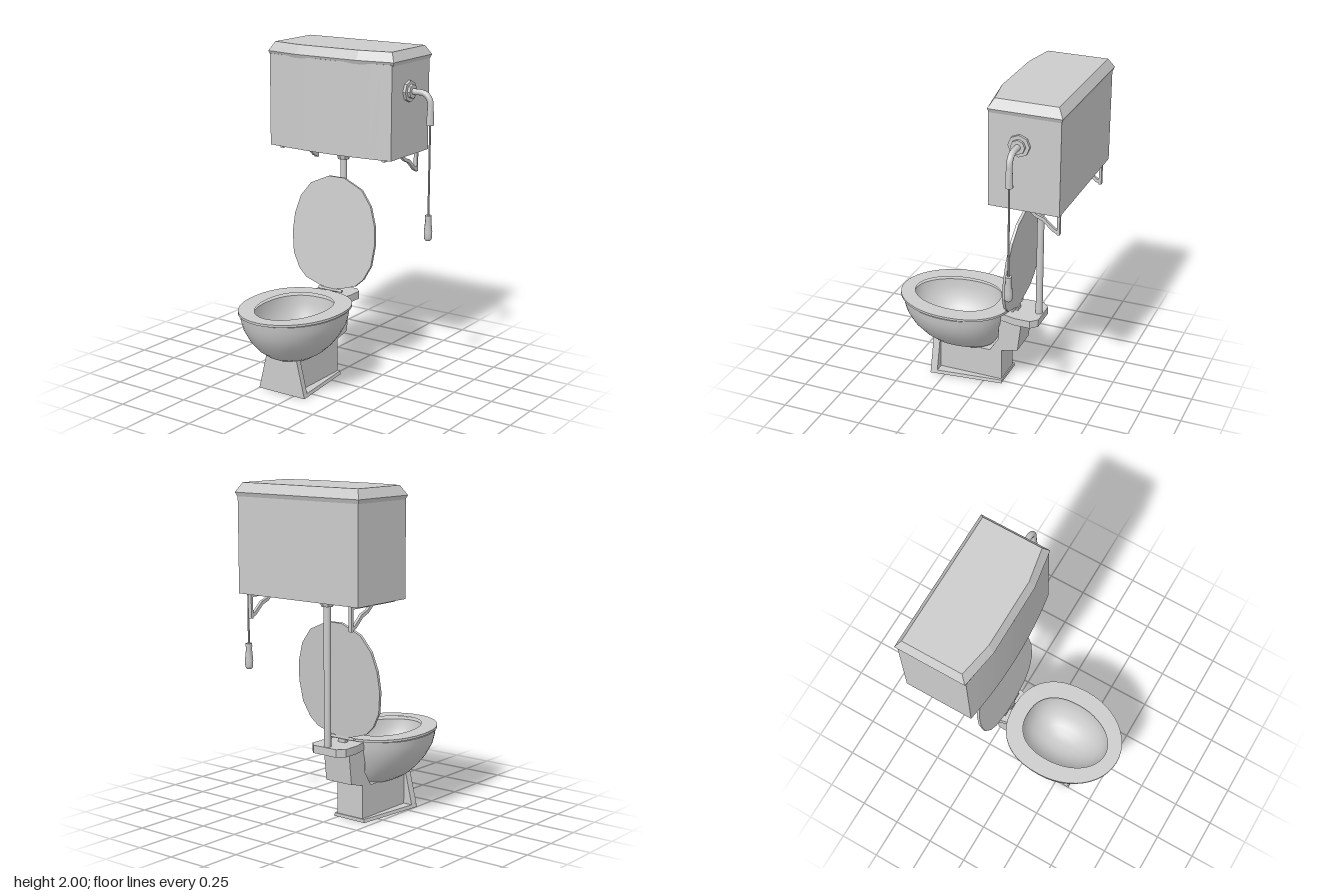
import * as THREE from 'three';
import { toCreasedNormals } from 'three/addons/utils/BufferGeometryUtils.js';

const grey = new THREE.MeshStandardMaterial({ color: 0xcccccc });
const V = (x, y, z) => new THREE.Vector3(x, y, z);

// Skin over a stack of rings with equal point counts; both ends close on their centres
function loft(rings, crease = 0.6) {
  const n = rings[0].length;
  const centre = (r) => r.reduce((s, p) => s.add(p), V(0, 0, 0)).divideScalar(n);
  const first = centre(rings[0]), last = centre(rings[rings.length - 1]);
  const pts = [];
  for (let i = 0; i < n; i++) {
    const j = (i + 1) % n;
    pts.push(first, rings[0][i], rings[0][j]);
    for (let k = 0; k < rings.length - 1; k++) {
      const a = rings[k], b = rings[k + 1];
      pts.push(a[i], b[i], a[j], a[j], b[i], b[j]);
    }
    pts.push(last, rings[rings.length - 1][j], rings[rings.length - 1][i]);
  }
  const geo = new THREE.BufferGeometry().setFromPoints(pts);
  return toCreasedNormals(geo, crease);
}

// Egg-shaped outline, a little squarer at the back
function egg(hw, zf, zb, zc = 0.2, n = 48) {
  const out = [];
  for (let i = 0; i < n; i++) {
    const a = (i / n) * Math.PI * 2, c = Math.cos(a), s = Math.sin(a);
    const e = s < 0 ? 2 / 2.35 : 1;
    const x = Math.sign(c) * Math.pow(Math.abs(c), e) * hw;
    const z = zc + Math.sign(s) * Math.pow(Math.abs(s), e) * (s < 0 ? zc - zb : zf - zc);
    out.push([x, z]);
  }
  return out;
}
const ringAt = (y, outline) => outline.map(([x, z]) => V(x, y, z));

// Four-cornered ring with separate front and back widths
const quad = (y, front, back, zf, zb) =>
  ringAt(y, [[front, zf], [-front, zf], [-back, zb], [back, zb]]);

// Side profile given as [z, y], extruded across x
function sideExtrude(points, width) {
  const shape = new THREE.Shape(points.map(([z, y]) => new THREE.Vector2(z, y)));
  const geo = new THREE.ExtrudeGeometry(shape, { depth: width, bevelEnabled: false });
  return geo.rotateY(-Math.PI / 2).translate(width / 2, 0, 0);
}

const cyl = (rTop, rBottom, y0, y1, sides = 16) =>
  toCreasedNormals(new THREE.CylinderGeometry(rTop, rBottom, y1 - y0, sides).translate(0, (y0 + y1) / 2, 0), 0.6);

export function createModel() {
  const root = new THREE.Group();
  const fixture = new THREE.Group();
  fixture.name = 'toilet';
  fixture.position.x = -0.086;
  root.add(fixture);
  const add = (name, geo, x = 0, y = 0, z = 0, parent = fixture) => {
    const m = new THREE.Mesh(geo, grey);
    m.name = name;
    m.position.set(x, y, z);
    parent.add(m);
    return m;
  };

  // Pedestal: foot plate, flared front panel, narrow body with rear outlet neck
  add('footPlate', loft([quad(0, 0.165, 0.115, 0.34, -0.115), quad(0.02, 0.16, 0.11, 0.34, -0.115)]));
  add('frontPanel', loft([quad(0, 0.165, 0.16, 0.342, 0.3), quad(0.222, 0.11, 0.106, 0.342, 0.3)]));
  add('pedestalBody', sideExtrude([[0.31, 0.01], [-0.108, 0.01], [-0.108, 0.225], [-0.212, 0.25],
    [-0.235, 0.45], [-0.09, 0.45], [-0.085, 0.3], [-0.03, 0.212], [0.31, 0.212]], 0.19));

  // Rear shelf with clipped back corners
  const shelf = [[0.1, -0.1], [-0.1, -0.1], [-0.125, -0.2], [-0.125, -0.3], [-0.085, -0.34],
    [0.085, -0.34], [0.125, -0.3], [0.125, -0.2]];
  add('rearShelf', loft([ringAt(0.44, shelf), ringAt(0.487, shelf)], 0.3));

  // Bowl: outside from the bottom up, over the rim, then down the inside [y, half width, front, back]
  const bowl = [[0.2, 0.06, 0.28, 0.06], [0.205, 0.115, 0.345, 0.0], [0.228, 0.152, 0.395, -0.03],
    [0.27, 0.197, 0.455, -0.055], [0.33, 0.245, 0.51, -0.08], [0.4, 0.285, 0.546, -0.105],
    [0.45, 0.298, 0.56, -0.114], [0.49, 0.304, 0.567, -0.118], [0.49, 0.212, 0.503, -0.056],
    [0.44, 0.208, 0.495, -0.05], [0.38, 0.192, 0.468, -0.036], [0.32, 0.16, 0.42, -0.005],
    [0.27, 0.11, 0.35, 0.05], [0.245, 0.06, 0.28, 0.11], [0.24, 0.02, 0.23, 0.17]];
  add('bowl', loft(bowl.map(([y, w, f, b]) => ringAt(y, egg(w, f, b))), 0.8));

  // Seat ring
  const flat = (o) => o.map(([x, z]) => new THREE.Vector2(x, -z));
  const seat = new THREE.Shape(flat(egg(0.308, 0.583, -0.15)));
  seat.holes.push(new THREE.Path(flat(egg(0.203, 0.497, -0.05))));
  add('seat', toCreasedNormals(new THREE.ExtrudeGeometry(seat, { depth: 0.014, bevelEnabled: false })
    .rotateX(-Math.PI / 2), 0.6), 0, 0.496, 0);

  // Raised cover, leaning back
  const half = [[0.07, 0], [0.18, 0.035], [0.235, 0.085], [0.283, 0.175], [0.3, 0.305],
    [0.29, 0.425], [0.255, 0.535], [0.185, 0.625], [0.055, 0.683]];
  const outline = [...half, ...half.map(([x, y]) => [-x, y]).reverse()];
  const coverShape = new THREE.Shape(outline.map(([x, y]) => new THREE.Vector2(x, y)));
  const cover = add('cover', new THREE.ExtrudeGeometry(coverShape, { depth: 0.017, bevelEnabled: false }),
    0, 0.525, -0.182);
  cover.rotation.x = -0.102;

  // Hinge
  add('hingeBar', new THREE.CylinderGeometry(0.009, 0.009, 0.17, 10).rotateZ(Math.PI / 2), 0, 0.512, -0.172);
  add('hingeTab', new THREE.BoxGeometry(0.1, 0.02, 0.012), 0, 0.525, -0.174);
  add('hingeBase', new THREE.BoxGeometry(0.05, 0.025, 0.03), 0, 0.495, -0.172);

  // Flush pipe and its collar under the tank
  add('flushPipe', cyl(0.021, 0.021, 0.48, 1.32), 0, 0, -0.313);
  add('pipeCollar', cyl(0.052, 0.034, 1.305, 1.36, 8), 0, 0, -0.313);
  add('pipeFlange', cyl(0.065, 0.065, 1.355, 1.372, 8), 0, 0, -0.313);

  // Tank with a bowed front
  const bowed = [];
  for (let i = 0; i <= 12; i++) {
    const u = 1 - i / 6;
    bowed.push([0.433 * u, -0.12 - 0.036 * u * u]);
  }
  bowed.push([-0.433, -0.577], [0.433, -0.577]);
  add('tank', loft([ringAt(1.37, bowed), ringAt(1.93, bowed)]));

  // Tank lid with a bevelled edge and a three-sided front
  const lidRing = (y, inset) => ringAt(y, [[0.445 - inset, -0.155 - inset], [0.215 - inset * 0.2, -0.117 - inset],
    [-0.215 + inset * 0.2, -0.117 - inset], [-0.445 + inset, -0.155 - inset],
    [-0.445 + inset, -0.587 + inset], [0.445 - inset, -0.587 + inset]]);
  add('tankLid', loft([lidRing(1.922, 0.009), lidRing(1.945, 0), lidRing(2, 0.032)], 0.1));

  // Pair of wall brackets
  for (const side of [-1, 1]) {
    const bracket = new THREE.Group();
    bracket.name = side < 0 ? 'rightBracket' : 'leftBracket';
    bracket.position.x = side * 0.366;
    fixture.add(bracket);
    add('bracketTop', new THREE.BoxGeometry(0.022, 0.018, 0.385), 0, 1.362, -0.37, bracket);
    add('bracketUpright', new THREE.BoxGeometry(0.022, 0.14, 0.016), 0, 1.3, -0.553, bracket);
    add('bracketStrut', sideExtrude([[-0.36, 1.36], [-0.41, 1.318], [-0.46, 1.298], [-0.52, 1.245], [-0.56, 1.23],
      [-0.56, 1.25], [-0.527, 1.265], [-0.468, 1.318], [-0.42, 1.335], [-0.39, 1.36]], 0.018), 0, 0, 0, bracket);
  }

  // Flush lever: rosette, bent arm, chain and pull
  const lever = new THREE.Group();
  lever.name = 'flushLever';
  lever.position.set(0.43, 0, -0.341);
  fixture.add(lever);
  const across = (r, x0, x1, sides) => cyl(r, r, x0, x1, sides).rotateZ(-Math.PI / 2);
  add('rosette', across(0.064, 0, 0.02, 8), 0, 1.757, 0, lever);
  add('rosetteNut', across(0.042, 0.015, 0.037, 8), 0, 1.757, 0, lever);
  const arm = new THREE.CurvePath();
  arm.add(new THREE.LineCurve3(V(0.03, 1.757, 0), V(0.085, 1.757, 0)));
  arm.add(new THREE.CubicBezierCurve3(V(0.085, 1.757, 0), V(0.128, 1.757, 0), V(0.153, 1.728, 0), V(0.153, 1.685, 0)));
  arm.add(new THREE.LineCurve3(V(0.153, 1.685, 0), V(0.153, 1.64, 0)));
  add('leverArm', new THREE.TubeGeometry(arm, 32, 0.018, 12), 0, 0, 0, lever);
  add('leverTip', cyl(0.018, 0.023, 1.57, 1.68, 12), 0.153, 0, 0, lever);
  add('chain', cyl(0.006, 0.006, 1.02, 1.58, 8), 0.153, 0, 0, lever);
  const pull = [[0, 0.877], [0.016, 0.877], [0.024, 0.89], [0.025, 0.93], [0.018, 1.0], [0.02, 1.01],
    [0.02, 1.03], [0, 1.03]].map(([r, y]) => new THREE.Vector2(r, y));
  add('pullHandle', toCreasedNormals(new THREE.LatheGeometry(pull, 12), 0.6), 0.153, 0, 0, lever);

  return root;
}
